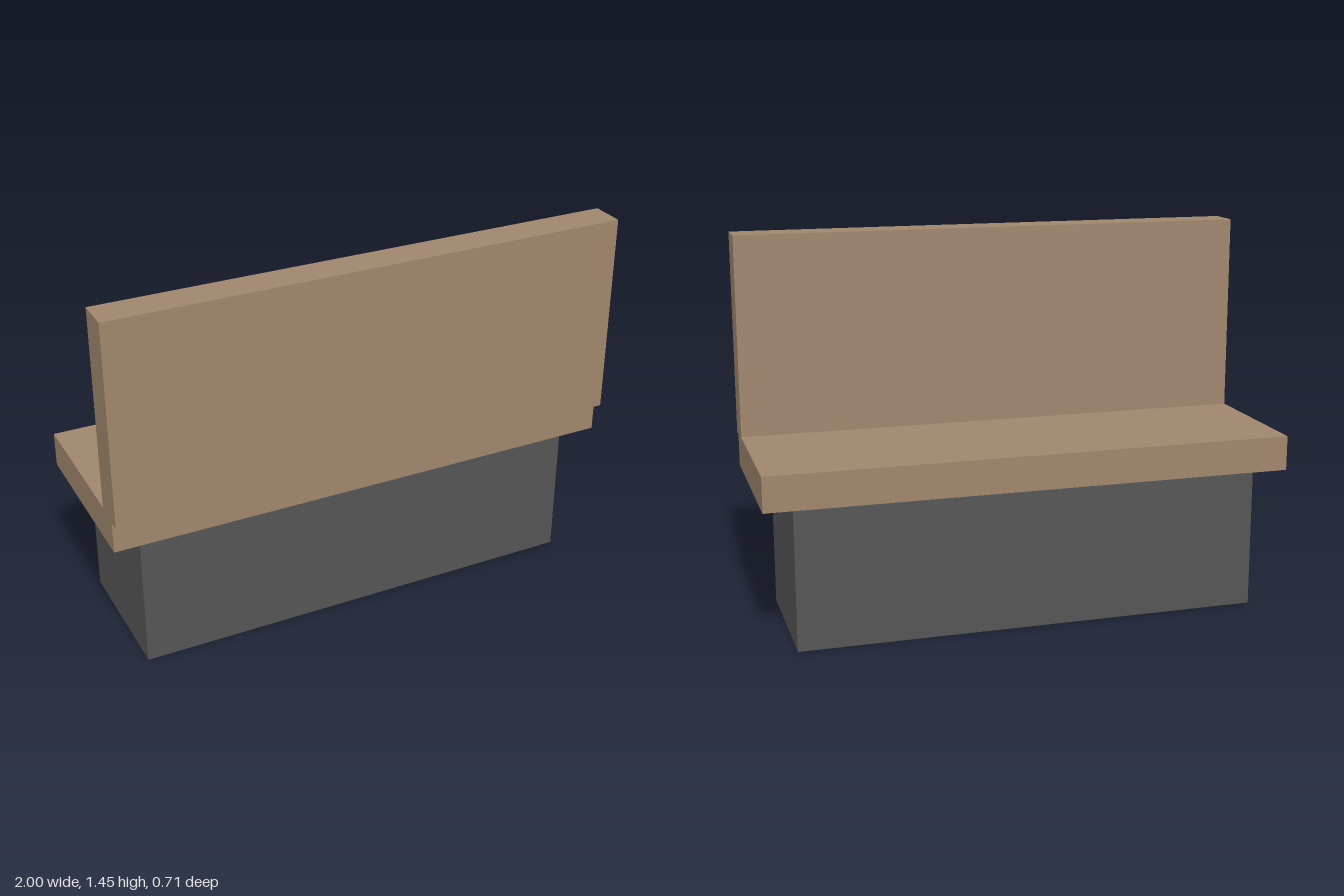
import * as THREE from 'three';

export function createModel() {
  const group = new THREE.Group();
  const wood = new THREE.MeshStandardMaterial({ color: 0xa0866c });
  wood.name = 'brown wood';
  const dark = new THREE.MeshStandardMaterial({ color: 0x555555 });
  dark.name = 'dark grey';

  // Box spanning the given y and z ranges, centred on x
  function slab(name, material, width, y0, y1, z0, z1) {
    const mesh = new THREE.Mesh(new THREE.BoxGeometry(width, y1 - y0, z1 - z0), material);
    mesh.position.set(0, (y0 + y1) / 2, (z0 + z1) / 2);
    mesh.name = name;
    group.add(mesh);
  }

  // Plinth, seat board overhanging it, and upright back board
  slab('base', dark, 1.774, 0, 0.547, -0.3, 0.257);
  slab('seat', wood, 2, 0.547, 0.68, -0.355, 0.314);
  slab('backrest', wood, 2, 0.67, 1.447, 0.223, 0.355);

  return group;
}
